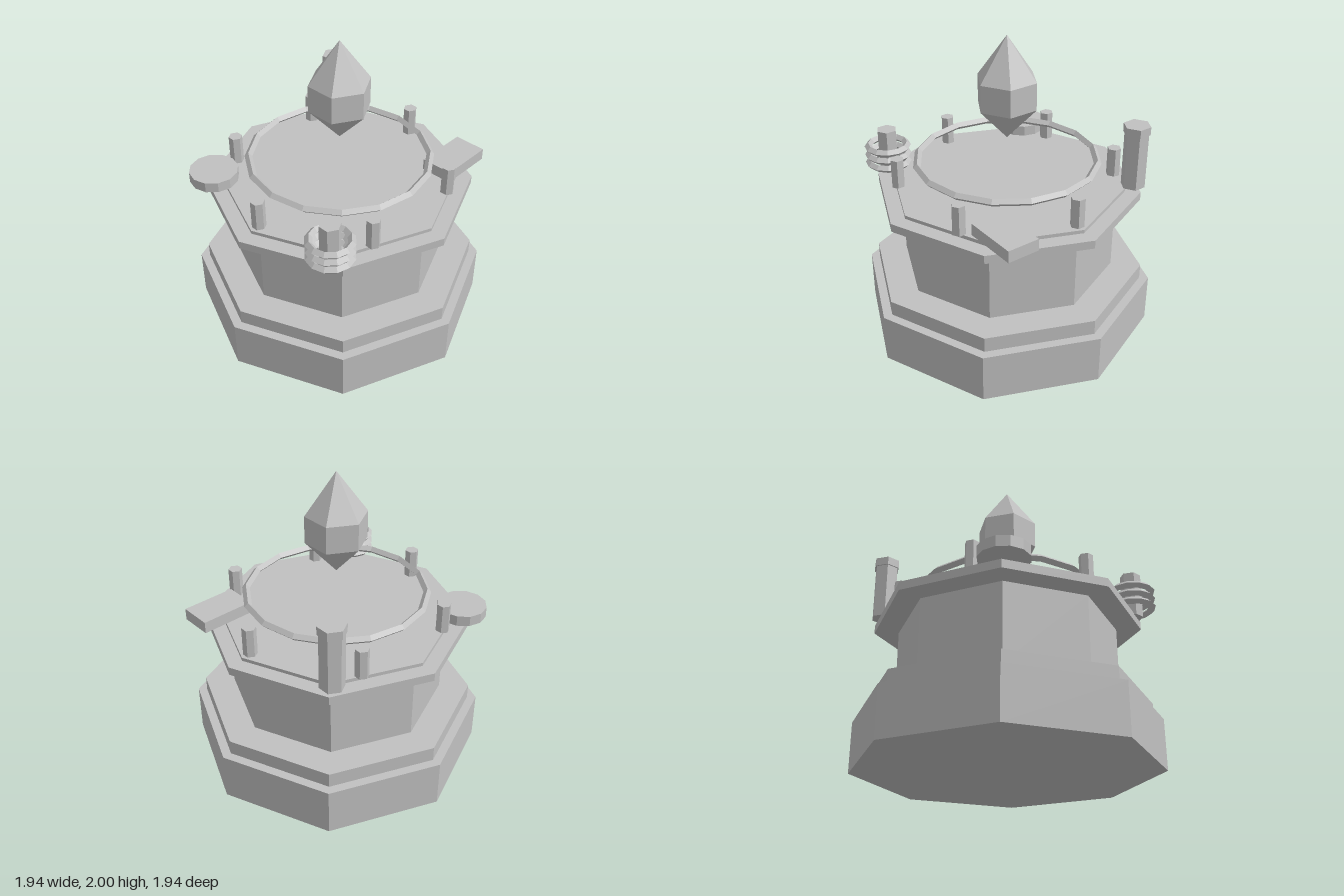
import * as THREE from 'three';

export function createModel() {
  const model = new THREE.Group();
  model.name = 'crystalPedestal';
  const stone = new THREE.MeshStandardMaterial({ color: 0xc0c0c0, flatShading: true });
  stone.name = 'grey stone';

  const add = (name, geometry, x = 0, y = 0, z = 0, parent = model) => {
    const mesh = new THREE.Mesh(geometry, stone);
    mesh.name = name;
    mesh.position.set(x, y, z);
    parent.add(mesh);
    return mesh;
  };
  // Upright prism between two heights
  const prism = (name, sides, radius, bottom, top, x = 0, z = 0, parent = model) =>
    add(name, new THREE.CylinderGeometry(radius, radius, top - bottom, sides), x, (bottom + top) / 2, z, parent);
  // Flat-lying ring with a diamond section
  const ring = (name, radius, tube, segments, x, y, z, parent = model) =>
    add(name, new THREE.TorusGeometry(radius, tube, 4, segments).rotateX(-Math.PI / 2), x, y, z, parent);

  // Octagonal pedestal, from the ground up
  prism('base', 8, 0.97, 0, 0.325);
  prism('baseStep', 8, 0.91, 0.325, 0.425);
  prism('column', 8, 0.71, 0.425, 0.935);
  prism('tableTop', 8, 0.87, 0.935, 0.99);
  prism('deck', 8, 0.77, 0.99, 1.013);

  // Ring held among six posts
  ring('deckRing', 0.585, 0.025, 16, 0, 1.175, 0);
  const posts = new THREE.Group();
  posts.name = 'posts';
  model.add(posts);
  for (let i = 0; i < 6; i++) {
    const a = (i * Math.PI) / 3;
    prism('post', 6, 0.045, 1.01, 1.205, 0.705 * Math.cos(a), 0.705 * Math.sin(a), posts);
  }

  // Floating crystal
  const profile = [[0, 1.32], [0.2, 1.54], [0.2, 1.72], [0, 2]].map(([r, y]) => new THREE.Vector2(r, y));
  add('crystal', new THREE.LatheGeometry(profile, 6));

  // Coil of three rings round a spool
  const coil = new THREE.Group();
  coil.name = 'coil';
  model.add(coil);
  prism('spool', 6, 0.067, 0.985, 1.285, -0.625, 0.525, coil);
  for (const y of [1.052, 1.109, 1.166]) ring('coilRing', 0.128, 0.025, 12, -0.625, y, 0.525, coil);

  // Capped vial
  const vial = new THREE.Group();
  vial.name = 'vial';
  model.add(vial);
  prism('vialBody', 6, 0.079, 1.03, 1.4, 0.565, -0.587, vial);
  prism('vialCap', 6, 0.088, 1.4, 1.455, 0.565, -0.587, vial);

  // Book and round dish at the remaining corners
  add('book', new THREE.BoxGeometry(0.36, 0.078, 0.215), 0.605, 1.056, 0.463);
  prism('dish', 12, 0.16, 1.015, 1.085, -0.585, -0.567);

  return model;
}
